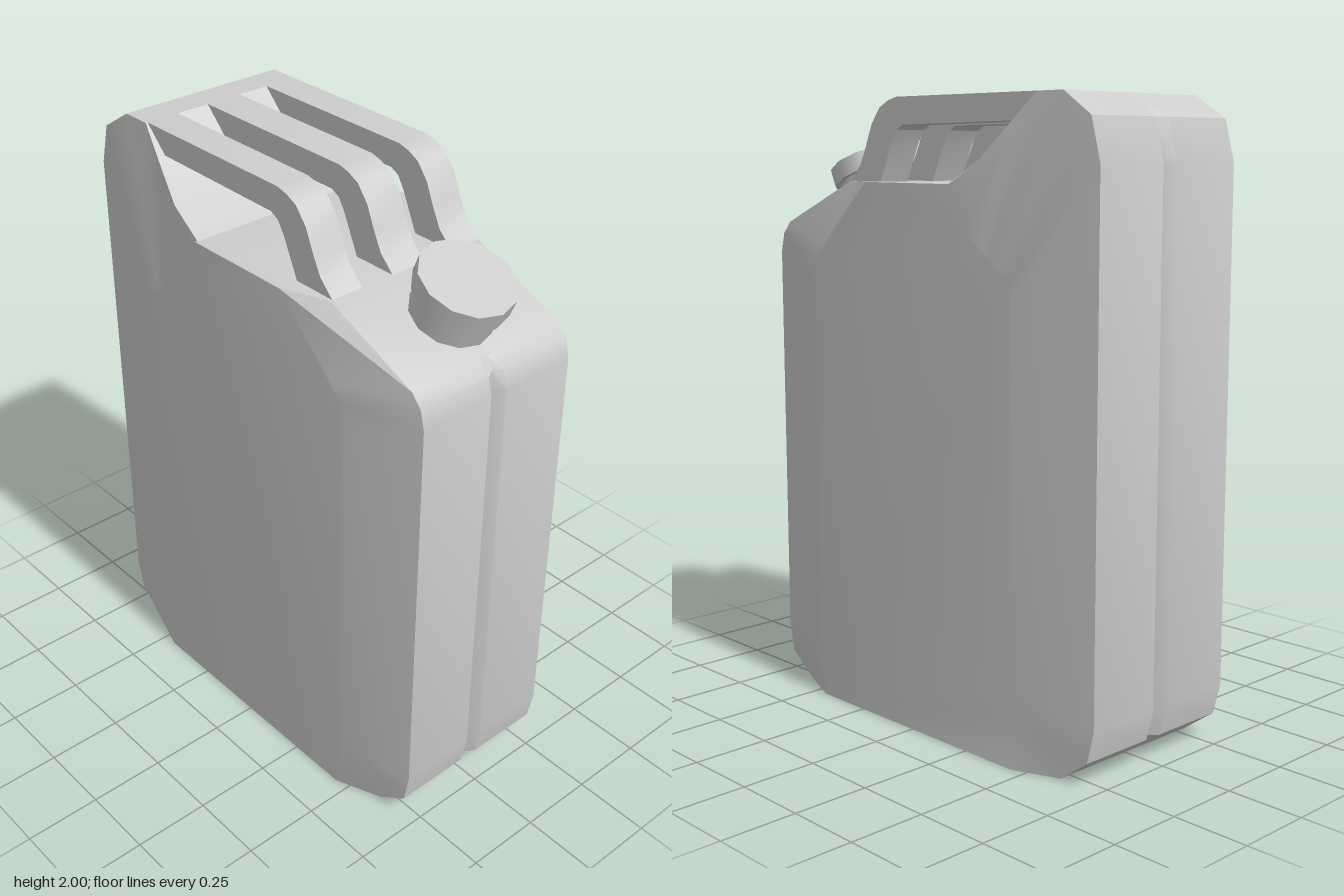
import * as THREE from 'three';
import { toCreasedNormals } from 'three/addons/utils/BufferGeometryUtils.js';

const material = new THREE.MeshStandardMaterial({ color: 0xcccccc });

function addMesh(parent, name, geometry) {
  const mesh = new THREE.Mesh(geometry, material);
  mesh.name = name;
  parent.add(mesh);
  return mesh;
}

// Outline of the can: rim x, rim y, rim half depth, panel x, panel y, groove depth
const OUTLINE = [
  [-0.6, 0, 0.29, -0.45, 0, 0],
  [0.6, 0, 0.29, 0.45, 0, 0],
  [0.71, 0.08, 0.29, 0.48, 0.15, 0.025],
  [0.73, 0.18, 0.29, 0.48, 0.22, 0.025],
  [0.73, 1.5, 0.29, 0.48, 1.42, 0.025],
  [0.715, 1.56, 0.29, 0.46, 1.48, 0.015],
  [0.68, 1.6, 0.29, 0.42, 1.54, 0],
  [0.35, 1.74, 0.29, 0.2, 1.74, 0],
  [-0.18, 1.74, 0.345, -0.19, 1.738, 0],
  [-0.3, 1.81, 0.335, -0.25, 1.6, 0],
  [-0.41, 1.92, 0.31, -0.32, 1.55, 0],
  [-0.49, 2, 0.29, -0.36, 1.52, 0],
  [-0.59, 2, 0.29, -0.4, 1.5, 0],
  [-0.7, 1.93, 0.295, -0.44, 1.46, 0.025],
  [-0.735, 1.8, 0.295, -0.45, 1.4, 0.025],
  [-0.735, 0.18, 0.295, -0.45, 0.22, 0.025],
  [-0.71, 0.08, 0.295, -0.45, 0.15, 0.025],
];
const PANEL_Z = 0.35;
const GROOVE_Z = 0.03;

// Body: outline loops stacked from back panel to front panel, with a pinched seam groove
function bodyGeometry() {
  const panel = (z) => OUTLINE.map((p) => [p[3], p[4], z]);
  const rim = (s) => OUTLINE.map((p) => [p[0], p[1], s * p[2]]);
  const seam = (z) => OUTLINE.map((p) => [p[0], p[1], z]);
  const groove = OUTLINE.map((p) => [p[0] - Math.sign(p[0]) * p[5], p[1], 0]);
  const loops = [
    panel(-PANEL_Z), rim(-1), seam(-GROOVE_Z), groove, seam(GROOVE_Z), rim(1), panel(PANEL_Z),
  ];
  const n = OUTLINE.length;
  const index = [];
  for (let l = 0; l < loops.length - 1; l++) {
    for (let i = 0; i < n; i++) {
      const j = (i + 1) % n;
      const a = l * n + i, b = l * n + j, c = b + n, d = a + n;
      index.push(a, b, c, a, c, d);
    }
  }
  // Flat front and back panels
  const contour = OUTLINE.map((p) => new THREE.Vector2(p[3], p[4]));
  const front = (loops.length - 1) * n;
  for (const [a, b, c] of THREE.ShapeUtils.triangulateShape(contour, [])) {
    index.push(front + a, front + b, front + c, a, c, b);
  }
  const geometry = new THREE.BufferGeometry();
  geometry.setAttribute('position', new THREE.Float32BufferAttribute(loops.flat(2), 3));
  geometry.setIndex(index);
  return toCreasedNormals(geometry, 0.5);
}

// One handle bar, extruded from its side profile
function barGeometry(width) {
  const profile = [
    [-0.41, 1.92], [0.09, 1.915], [0.12, 1.9], [0.145, 1.86], [0.2, 1.74],
    [0.35, 1.74], [0.3, 1.79], [0.27, 1.85], [0.24, 1.92], [0.2, 1.97],
    [0.16, 1.99], [0.12, 2], [-0.49, 2],
  ].map(([x, y]) => new THREE.Vector2(x, y));
  const geometry = new THREE.ExtrudeGeometry(new THREE.Shape(profile), {
    depth: width, bevelEnabled: false,
  });
  geometry.translate(0, 0, -width / 2);
  return toCreasedNormals(geometry, 0.5);
}

export function createModel() {
  const group = new THREE.Group();
  group.name = 'fuelCan';
  addMesh(group, 'body', bodyGeometry());

  // Three parallel carrying bars
  const handle = new THREE.Group();
  handle.name = 'handle';
  group.add(handle);
  const bars = [['backBar', -0.233], ['middleBar', -0.006], ['frontBar', 0.227]];
  for (const [name, z] of bars) {
    addMesh(handle, name, barGeometry(name === 'middleBar' ? 0.125 : 0.112)).position.z = z;
  }

  // Tilted filler neck with screw cap on the sloping shoulder
  const spout = new THREE.Group();
  spout.name = 'spout';
  spout.position.set(0.525, 1.665, -0.005);
  spout.rotation.z = -0.41;
  group.add(spout);
  addMesh(spout, 'neck', new THREE.CylinderGeometry(0.127, 0.127, 0.14, 12)).position.y = 0.05;
  addMesh(spout, 'cap', new THREE.CylinderGeometry(0.148, 0.148, 0.06, 12)).position.y = 0.12;

  return group;
}
